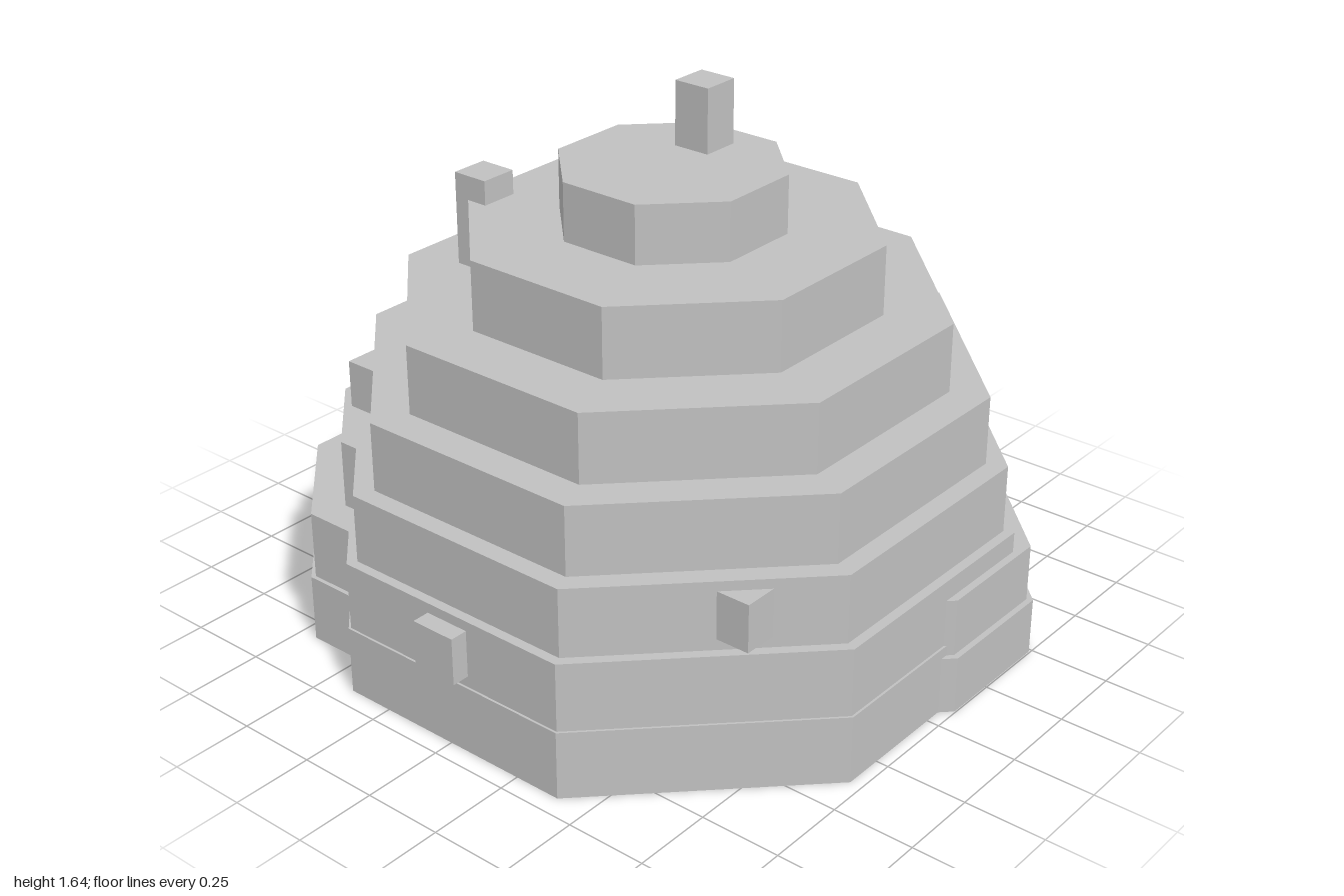
import * as THREE from 'three';

const stone = new THREE.MeshStandardMaterial({ color: 0xc0c0c0, flatShading: true });
stone.name = 'pale grey stone';

// Stack of octagonal tiers, given the distance from centre to flat side of each
function tieredDome(name, x, z, tops, apothems) {
  const dome = new THREE.Group();
  dome.name = name;
  let bottom = 0;
  apothems.forEach((a, i) => {
    const h = tops[i] - bottom;
    const r = a / Math.cos(Math.PI / 8);
    const tier = new THREE.Mesh(new THREE.CylinderGeometry(r, r, h, 8, 1, false, Math.PI / 8), stone);
    tier.name = `${name}Tier${i + 1}`;
    tier.position.set(x, bottom + h / 2, z);
    dome.add(tier);
    bottom = tops[i];
  });
  return dome;
}

// Box from its lower and upper limits on each axis
function block(name, [x0, x1], [y0, y1], [z0, z1]) {
  const mesh = new THREE.Mesh(new THREE.BoxGeometry(x1 - x0, y1 - y0, z1 - z0), stone);
  mesh.name = name;
  mesh.position.set((x0 + x1) / 2, (y0 + y1) / 2, (z0 + z1) / 2);
  return mesh;
}

export function createModel() {
  const model = new THREE.Group();
  model.name = 'steppedDome';

  // Large dome and the two smaller ones merging into its sides
  model.add(
    tieredDome('mainDome', 0, -0.025,
      [0.212, 0.424, 0.635, 0.847, 1.058, 1.27, 1.447],
      [0.962, 0.955, 0.925, 0.866, 0.758, 0.574, 0.313]),
    tieredDome('frontSideDome', -0.47, 0.285, [0.212, 0.424, 0.635], [0.53, 0.517, 0.418]),
    tieredDome('backSideDome', 0.513, -0.288, [0.18, 0.36, 0.53], [0.483, 0.465, 0.38]),
  );

  // Chimneys and roof vent
  model.add(
    block('topChimney', [-0.075, 0.043], [1.4, 1.643], [-0.248, -0.13]),
    block('sideChimney', [-0.6, -0.482], [1.05, 1.345], [0.118, 0.236]),
    block('roofVent', [-0.75, -0.55], [1.05, 1.162], [-0.1, 0.012]),
  );

  // Blocks jutting from the walls
  model.add(
    block('frontWallBlock', [-0.075, 0.07], [0.247, 0.393], [0.85, 0.985]),
    block('rightWallBlock', [-0.74, -0.633], [0.668, 0.815], [0.46, 0.567]),
    block('leftWallBlock', [0.675, 0.782], [0.458, 0.605], [0.5, 0.607]),
  );

  return model;
}
